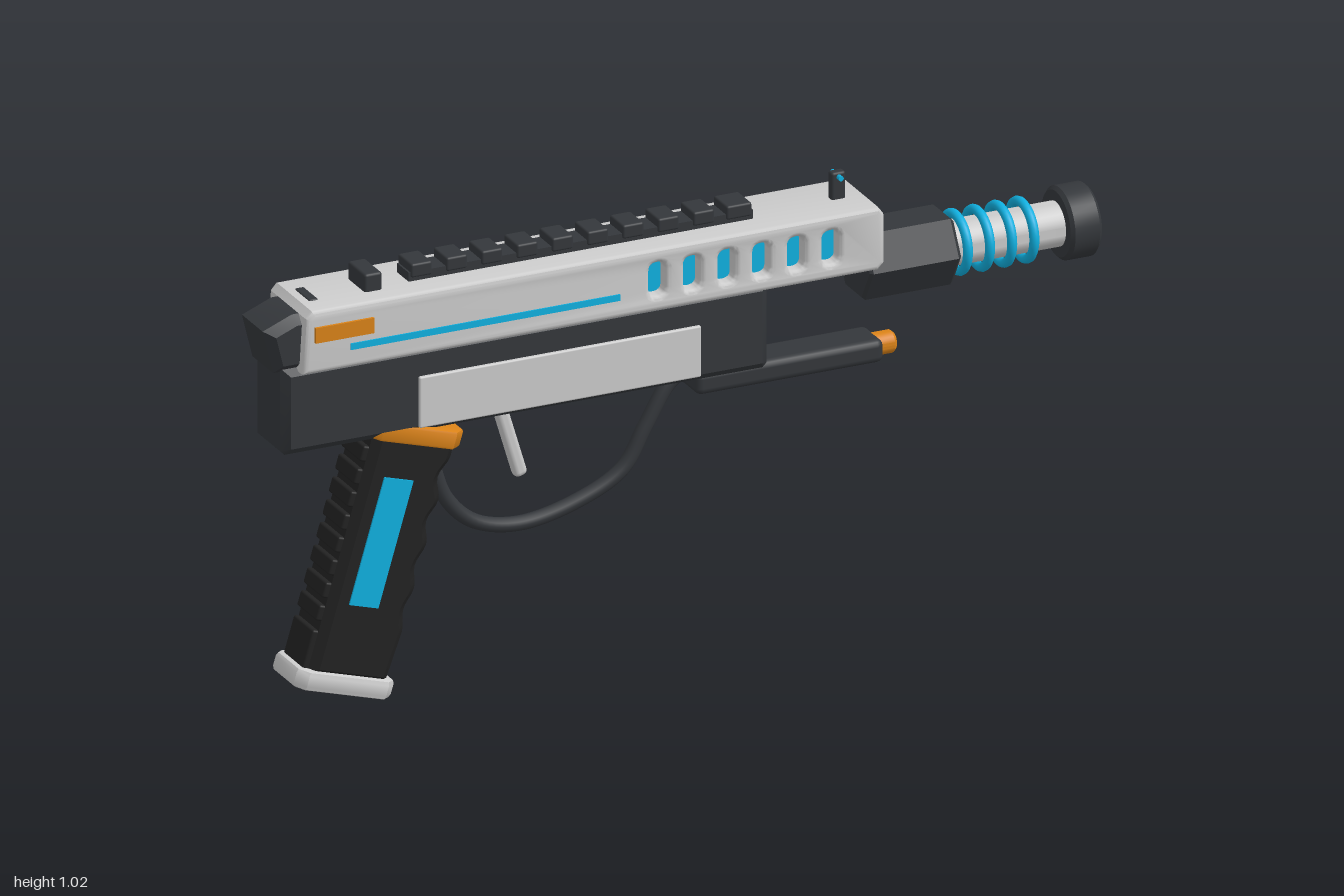
import * as THREE from 'three';
import { toCreasedNormals } from 'three/addons/utils/BufferGeometryUtils.js';
import { RoundedBoxGeometry } from 'three/addons/geometries/RoundedBoxGeometry.js';

const paint = (color) => new THREE.MeshStandardMaterial({ color });

export function createModel() {
  const model = new THREE.Group();
  const grey = paint(0xcccccc), dark = paint(0x34373b), black = paint(0x222222);
  const blue = paint(0x10b0e0), orange = paint(0xd98218);

  const add = (name, geometry, material, x = 0, y = 0, z = 0, parent = model) => {
    const mesh = new THREE.Mesh(geometry, material);
    mesh.name = name;
    mesh.position.set(x, y, z);
    parent.add(mesh);
    return mesh;
  };
  const box = (w, h, d, r = 0) => r ? new RoundedBoxGeometry(w, h, d, 2, r) : new THREE.BoxGeometry(w, h, d);
  const outline = (pts) => new THREE.Shape(pts.map(([x, y]) => new THREE.Vector2(x, y)));
  // side profile extruded across z; bevel grows inside the given total width
  const slab = (shape, width, bevel, segments = 1) => {
    const g = new THREE.ExtrudeGeometry(shape, {
      depth: width - 2 * bevel, bevelThickness: bevel, bevelSize: bevel, bevelOffset: -bevel,
      bevelSegments: segments, curveSegments: 6,
    });
    return toCreasedNormals(g.translate(0, 0, bevel - width / 2), 0.6);
  };
  // lathe profile of [radius, x] pairs turned around the barrel axis
  const turned = (pts, sides = 32) => toCreasedNormals(
    new THREE.LatheGeometry(pts.map(([r, x]) => new THREE.Vector2(r, x)), sides).rotateZ(-Math.PI / 2), 0.5);

  // Upper body with a row of window slots
  const upper = outline([[-0.922, 0.82], [0.455, 0.82], [0.47, 0.835], [0.47, 0.95], [0.458, 0.966],
    [-0.9, 0.966], [-0.914, 0.95]]);
  const slots = [0, 1, 2, 3, 4, 5].map((i) => -0.073 + i * 0.083);
  for (const x of slots) {
    const w = 0.02, r = 0.018, y0 = 0.873, y1 = 0.915;
    const hole = new THREE.Path();
    hole.moveTo(x - w, y0);
    hole.quadraticCurveTo(x - w, y0 - r, x, y0 - r);
    hole.quadraticCurveTo(x + w, y0 - r, x + w, y0);
    hole.lineTo(x + w, y1);
    hole.quadraticCurveTo(x + w, y1 + r, x, y1 + r);
    hole.quadraticCurveTo(x - w, y1 + r, x - w, y1);
    upper.holes.push(hole);
  }
  add('upperBody', slab(upper, 0.194, 0.012, 3), grey);
  add('glowCore', box(0.5, 0.105, 0.13), blue, 0.135, 0.893);

  // Rear cap
  add('rearCap', slab(outline([[-1, 0.922], [-0.93, 0.95], [-0.88, 0.95], [-0.88, 0.82], [-0.975, 0.82]]), 0.145, 0.02), dark);

  // Lower receiver and side panels
  add('receiver', slab(outline([[-0.96, 0.635], [-0.95, 0.625], [0.195, 0.625], [0.205, 0.635], [0.205, 0.83],
    [-0.96, 0.83]]), 0.15, 0.018), dark);
  for (const s of [1, -1]) {
    add('sidePanel', box(0.675, 0.12, 0.02, 0.004), grey, -0.3, 0.7, s * 0.073);
    add('orangeMark', box(0.14, 0.036, 0.014), orange, -0.826, 0.912, s * 0.096);
    add('blueStripe', box(0.645, 0.015, 0.012), blue, -0.488, 0.87, s * 0.094);
  }

  // Top rail, sights and slot
  add('railBase', box(0.825, 0.026, 0.06), dark, -0.227, 0.974);
  for (let i = 0; i < 10; i++) add('railTooth', box(i === 9 ? 0.06 : 0.05, 0.032, 0.07, 0.005), dark, -0.61 + i * 0.0845, 0.991);
  add('rearSight', box(0.042, 0.05, 0.088, 0.006), dark, -0.73, 0.982);
  add('topSlot', box(0.022, 0.01, 0.075, 0.004), dark, -0.87, 0.964);
  add('frontSight', box(0.034, 0.068, 0.022, 0.006), dark, 0.4, 0.995);
  add('frontSightPin', new THREE.CylinderGeometry(0.006, 0.006, 0.046, 12).rotateX(Math.PI / 2), blue, 0.4, 1.018);

  // Barrel: six-sided shroud, inner tube, coils and muzzle
  const axis = 0.81;
  add('barrelShroud', toCreasedNormals(turned([[0, 0.44], [0.082, 0.44], [0.089, 0.447], [0.089, 0.651],
    [0.08, 0.66], [0, 0.66]], 6), 0.3), dark, 0, axis);
  add('barrel', turned([[0.051, 0.64], [0.051, 0.935]]), grey, 0, axis);
  for (const x of [0.684, 0.737, 0.79, 0.843])
    add('coil', new THREE.TorusGeometry(0.064, 0.011, 10, 40).rotateY(Math.PI / 2), blue, x, axis);
  add('muzzle', turned([[0, 0.925], [0.075, 0.925], [0.083, 0.933], [0.083, 0.992], [0.075, 1], [0.049, 1],
    [0.043, 0.994], [0.043, 0.93]]), dark, 0, axis);
  add('muzzleGlow', new THREE.SphereGeometry(0.043, 24, 16), blue, 0.932, axis);

  // Under-barrel rod with tip
  add('underRod', box(0.45, 0.054, 0.1, 0.016), dark, 0.267, 0.606);
  add('underRodTip', turned([[0, 0.48], [0.026, 0.48], [0.026, 0.528], [0.02, 0.535], [0, 0.535]], 24), orange, 0, 0.605);

  // Trigger and guard
  const guard = new THREE.CatmullRomCurve3([[-0.58, 0.58], [-0.567, 0.51], [-0.535, 0.425], [-0.47, 0.362], [-0.365, 0.337],
    [-0.23, 0.362], [-0.115, 0.42], [-0.06, 0.51], [0.0, 0.605], [0.05, 0.635]].map(([x, y]) => new THREE.Vector3(x, y, 0)));
  add('triggerGuard', new THREE.TubeGeometry(guard, 60, 0.017, 12), dark);
  add('trigger', box(0.032, 0.21, 0.03, 0.012), grey, -0.388, 0.551).rotation.z = 0.29;

  // Raked grip: local y runs from its foot to the collar
  const grip = new THREE.Group();
  grip.name = 'grip';
  grip.position.set(-0.803, 0.07, 0);
  grip.rotation.z = -0.288;
  model.add(grip);
  const front = [];
  for (let i = 0; i <= 32; i++) {
    const t = i / 32;
    front.push([0.108 - 0.018 * Math.sin(t * 4 * Math.PI) ** 2 * (0.6 + 0.4 * t), 0.12 + t * 0.41]);
  }
  add('gripBody', slab(outline([[-0.094, 0], [0.1, 0], ...front, [0.108, 0.57], [-0.094, 0.57]]), 0.136, 0.018), black, 0, 0, 0, grip);
  for (let i = 0; i < 8; i++)
    add('gripRidge', box(0.03, 0.036, 0.1, 0.005), black, -0.092, 0.14 + i * 0.053, 0, grip);
  add('gripLowerBack', box(0.03, 0.1, 0.1, 0.005), black, -0.092, 0.05, 0, grip);
  for (const s of [1, -1])
    add('gripInlay', box(0.072, 0.297, 0.012), blue, -0.013, 0.322, s * 0.066, grip);

  // Collar and foot plate share a plan with chamfered ends
  const plate = (length, width, height, cut, bevel) => {
    const l = length / 2, w = width / 2;
    return slab(outline([[-l, -w + cut], [-l + cut, -w], [l - cut, -w], [l, -w + cut], [l, w - cut],
      [l - cut, w], [-l + cut, w], [-l, w - cut]]), height, bevel, 2).rotateX(Math.PI / 2);
  };
  add('gripCollar', plate(0.236, 0.15, 0.042, 0.028, 0.006), orange, 0.006, 0.572, 0, grip);
  add('gripFoot', plate(0.242, 0.15, 0.046, 0.022, 0.011), grey, 0.0, -0.01, 0, grip);
  return model;
}
